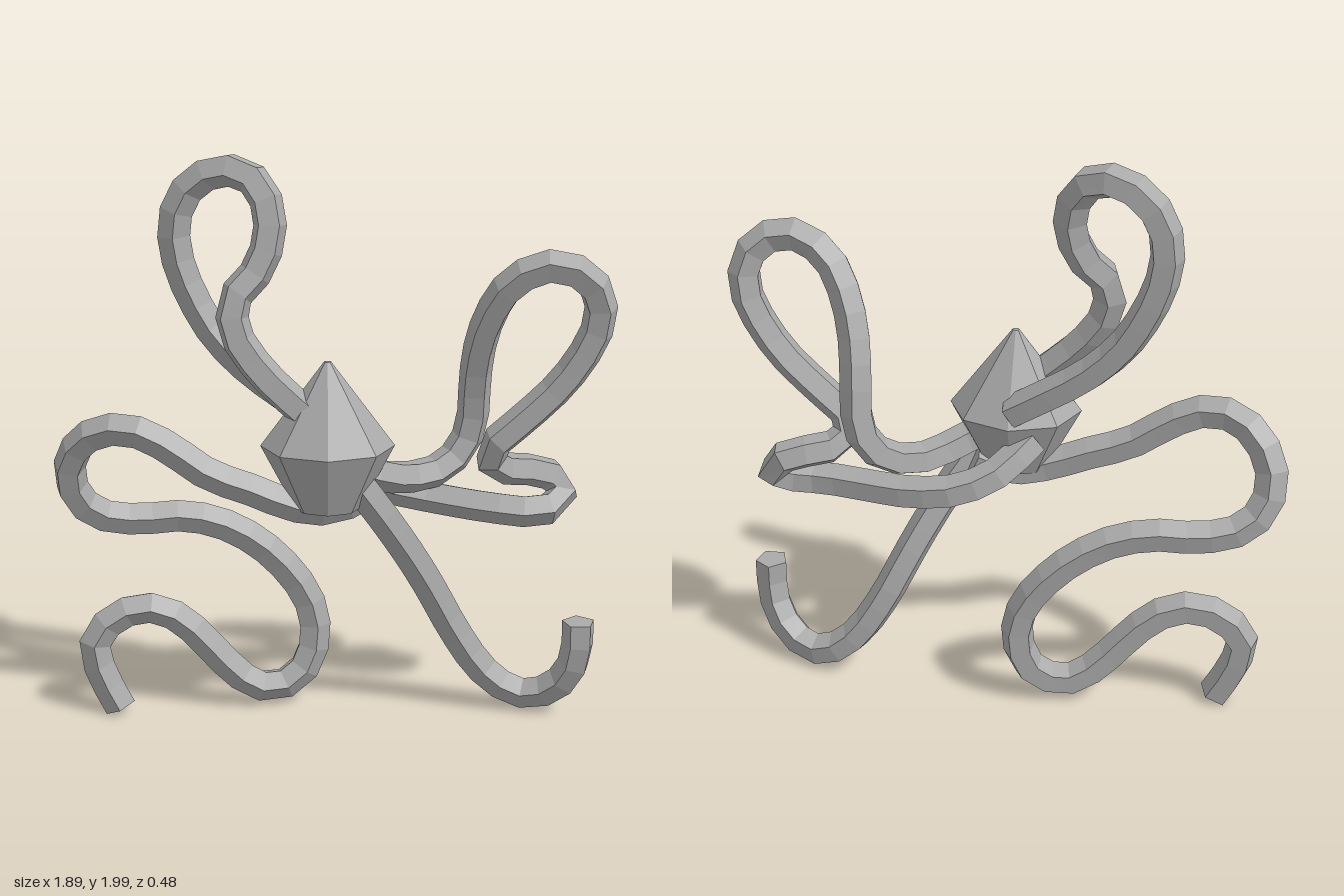
import * as THREE from 'three';

const SIDES = 5;
const RADIUS = 0.058;

// Five-sided limb swept along a smooth path, with closed ends
function limb(name, points, material) {
  const curve = new THREE.CatmullRomCurve3(points.map((p) => new THREE.Vector3(...p)), false, 'centripetal');
  const segments = Math.round(curve.getLength() / 0.085);
  const tube = new THREE.TubeGeometry(curve, segments, RADIUS, SIDES, false);
  const index = Array.from(tube.index.array);
  const last = segments * (SIDES + 1);
  for (let j = 1; j < SIDES - 1; j++) {
    index.push(0, j, j + 1, last, last + j + 1, last + j);
  }
  tube.setIndex(index);
  const flat = tube.toNonIndexed();
  flat.computeVertexNormals();
  const mesh = new THREE.Mesh(flat, material);
  mesh.name = name;
  return mesh;
}

export function createModel() {
  const group = new THREE.Group();
  group.name = 'tentacledCreature';
  const grey = new THREE.MeshStandardMaterial({ color: 0xaaaaaa, flatShading: true });
  grey.name = 'grey';

  // Gem-shaped body, eight-sided and slightly flattened front to back
  const profile = [[0, 0.82], [0.112, 0.82], [0.225, 1.04], [0.012, 1.33], [0, 1.33]];
  const bodyGeometry = new THREE.LatheGeometry(profile.map((p) => new THREE.Vector2(...p)), 8);
  bodyGeometry.scale(1, 1, 0.8);
  const body = new THREE.Mesh(bodyGeometry, grey);
  body.name = 'body';
  body.position.set(-0.015, 0, 0.06);
  group.add(body);

  // Limb reaching down and curling up at its tip
  group.add(limb('lowerLeftLimb', [
    [0.08, 0.92, 0.07], [0.18, 0.77, 0.03], [0.27, 0.62, -0.02], [0.34, 0.49, -0.06],
    [0.42, 0.33, -0.095], [0.51, 0.185, -0.11], [0.59, 0.105, -0.11], [0.685, 0.07, -0.09],
    [0.775, 0.105, -0.055], [0.835, 0.185, -0.02], [0.855, 0.28, 0], [0.855, 0.375, 0],
  ], grey));

  // Long winding limb
  group.add(limb('lowerRightLimb', [
    [0.12, 0.86, 0], [0.01, 0.81, 0.03], [-0.125, 0.825, 0.05], [-0.26, 0.88, 0.05],
    [-0.415, 0.94, 0.05], [-0.55, 1.035, 0.045], [-0.65, 1.085, 0.04], [-0.76, 1.085, 0.02],
    [-0.85, 1.02, -0.02], [-0.895, 0.915, -0.06], [-0.87, 0.8, -0.095], [-0.785, 0.73, -0.125],
    [-0.655, 0.71, -0.15], [-0.52, 0.715, -0.165], [-0.39, 0.685, -0.175], [-0.26, 0.61, -0.185],
    [-0.15, 0.5, -0.19], [-0.08, 0.385, -0.19], [-0.06, 0.255, -0.185], [-0.1, 0.135, -0.17],
    [-0.18, 0.08, -0.15], [-0.26, 0.085, -0.14], [-0.335, 0.14, -0.13], [-0.44, 0.26, -0.12],
    [-0.52, 0.345, -0.115], [-0.6, 0.39, -0.11], [-0.68, 0.395, -0.105], [-0.775, 0.35, -0.1],
    [-0.83, 0.265, -0.095], [-0.81, 0.165, -0.09], [-0.745, 0.03, -0.08],
  ], grey));

  // Upper loop, leaving the back of the body and returning at its side
  group.add(limb('upperRightLimb', [
    [-0.02, 1.08, -0.06], [-0.15, 1.17, -0.085], [-0.28, 1.265, -0.105], [-0.39, 1.38, -0.12],
    [-0.46, 1.5, -0.13], [-0.51, 1.63, -0.135], [-0.52, 1.77, -0.135], [-0.465, 1.885, -0.125],
    [-0.365, 1.942, -0.1], [-0.27, 1.925, -0.065], [-0.215, 1.85, -0.035], [-0.205, 1.735, -0.01],
    [-0.25, 1.62, 0.01], [-0.32, 1.54, 0.035], [-0.325, 1.44, 0.05], [-0.28, 1.355, 0.06],
    [-0.2, 1.26, 0.075], [-0.08, 1.15, 0.085],
  ], grey));

  // Tall loop followed by a small low loop that returns behind the body
  group.add(limb('upperLeftLimb', [
    [0.07, 0.96, 0.04], [0.17, 0.915, 0], [0.27, 0.885, -0.07], [0.38, 0.9, -0.12],
    [0.455, 0.97, -0.15], [0.485, 1.075, -0.15], [0.488, 1.21, -0.125], [0.5, 1.34, -0.085],
    [0.535, 1.47, -0.04], [0.6, 1.58, 0], [0.705, 1.64, 0.025], [0.81, 1.62, 0.03],
    [0.88, 1.54, 0.015], [0.885, 1.435, 0], [0.83, 1.31, -0.01], [0.74, 1.19, -0.02],
    [0.63, 1.085, -0.025], [0.54, 0.99, -0.035], [0.56, 0.92, -0.07], [0.64, 0.9, -0.105],
    [0.73, 0.885, -0.125], [0.795, 0.84, -0.13], [0.785, 0.785, -0.09], [0.7, 0.765, -0.06],
    [0.58, 0.77, -0.075], [0.44, 0.78, -0.115], [0.3, 0.795, -0.155], [0.15, 0.825, -0.17],
    [0.02, 0.88, -0.135], [-0.09, 0.97, -0.04],
  ], grey));

  return group;
}
